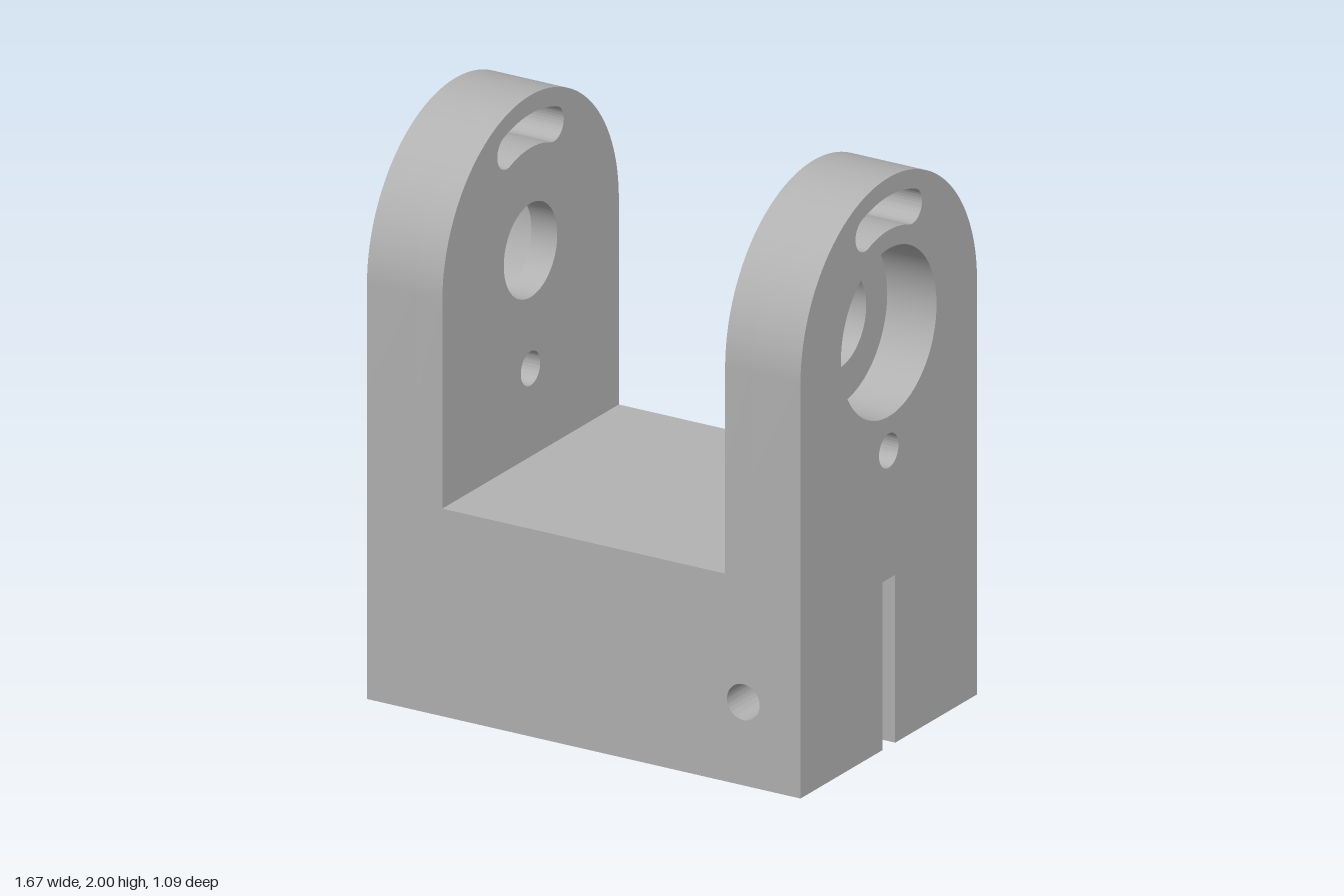
import * as THREE from 'three';
import { toCreasedNormals } from 'three/addons/utils/BufferGeometryUtils.js';

const W = 0.835, D = 0.545;        // half width, half depth
const FLOOR = 0.73, CAVITY = 0.59; // top of the base, top of socket and slit
const ARM_IN = 0.545, STEP = 0.645; // inner arm face, counterbore ledge
const AXIS = 1.455;                // height of the pivot axis
const SLIT = 0.04, SOCKET = 0.22, SPLIT = 0.5;

const metal = new THREE.MeshStandardMaterial({ color: 0xb2b2b2 });
metal.name = 'grey metal';

function extrude(name, shape, depth) {
  const geometry = new THREE.ExtrudeGeometry(shape, { depth, bevelEnabled: false, curveSegments: 48 });
  const mesh = new THREE.Mesh(toCreasedNormals(geometry, 0.5), metal);
  mesh.name = name;
  return mesh;
}

function circle(x, y, r) {
  return new THREE.Path().absarc(x, y, r, 0, Math.PI * 2, false);
}

// Curved slot with round ends, concentric with the pivot
function arcSlot() {
  const mid = 0.42, r = 0.06, half = 0.353, up = Math.PI / 2;
  const a = up - half, b = up + half;
  const path = new THREE.Path();
  path.absarc(0, AXIS, mid + r, a, b, false);
  path.absarc(mid * Math.cos(b), AXIS + mid * Math.sin(b), r, b, b + Math.PI, false);
  path.absarc(0, AXIS, mid - r, b, a, true);
  path.absarc(mid * Math.cos(a), AXIS + mid * Math.sin(a), r, a + Math.PI, a + Math.PI * 2, false);
  return path;
}

// Round-topped arm plate with a pivot hole of the given radius
function armShape(bore) {
  const s = new THREE.Shape();
  s.moveTo(-D, FLOOR);
  s.lineTo(D, FLOOR);
  s.lineTo(D, AXIS);
  s.absarc(0, AXIS, D, 0, Math.PI, false);
  s.holes.push(circle(0, AXIS, bore), circle(0, 1.04, 0.06), arcSlot());
  return s;
}

function armLayer(name, bore, x0, x1) {
  const mesh = extrude(name, armShape(bore), x1 - x0);
  mesh.rotation.y = Math.PI / 2;
  mesh.position.x = x0;
  return mesh;
}

export function createModel() {
  const model = new THREE.Group();
  model.name = 'clevisBracket';

  // Arms: thin inner layer with the bore, outer layer with the counterbore
  const left = new THREE.Group();
  left.name = 'leftArm';
  left.add(armLayer('boreLayer', 0.165, ARM_IN, STEP), armLayer('counterboreLayer', 0.295, STEP, W));
  const right = new THREE.Group();
  right.name = 'rightArm';
  right.add(armLayer('boreLayer', 0.165, -STEP, -ARM_IN), armLayer('counterboreLayer', 0.295, -W, -STEP));
  model.add(left, right);

  // Solid web closing the socket from above
  const web = new THREE.Mesh(new THREE.BoxGeometry(W * 2, FLOOR - CAVITY, D * 2), metal);
  web.name = 'baseWeb';
  web.position.y = (FLOOR + CAVITY) / 2;
  model.add(web);

  // Lower base with the blind socket and the start of the slit
  const a = Math.asin(SLIT / SOCKET);
  const plan = new THREE.Shape();
  plan.moveTo(-W, -D);
  plan.lineTo(SPLIT, -D);
  plan.lineTo(SPLIT, -SLIT);
  plan.absarc(0, 0, SOCKET, -a, a, true);
  plan.lineTo(SPLIT, SLIT);
  plan.lineTo(SPLIT, D);
  plan.lineTo(-W, D);
  const base = extrude('socketBase', plan, CAVITY);
  base.rotation.x = -Math.PI / 2;
  model.add(base);

  // Clamp jaws on both sides of the slit, with the cross hole
  const jaw = new THREE.Shape();
  jaw.moveTo(SPLIT, 0);
  jaw.lineTo(W, 0);
  jaw.lineTo(W, CAVITY);
  jaw.lineTo(SPLIT, CAVITY);
  jaw.holes.push(circle(0.615, 0.293, 0.063));
  for (const [name, z] of [['frontJaw', SLIT], ['backJaw', -D]]) {
    const mesh = extrude(name, jaw, D - SLIT);
    mesh.position.z = z;
    model.add(mesh);
  }
  return model;
}
